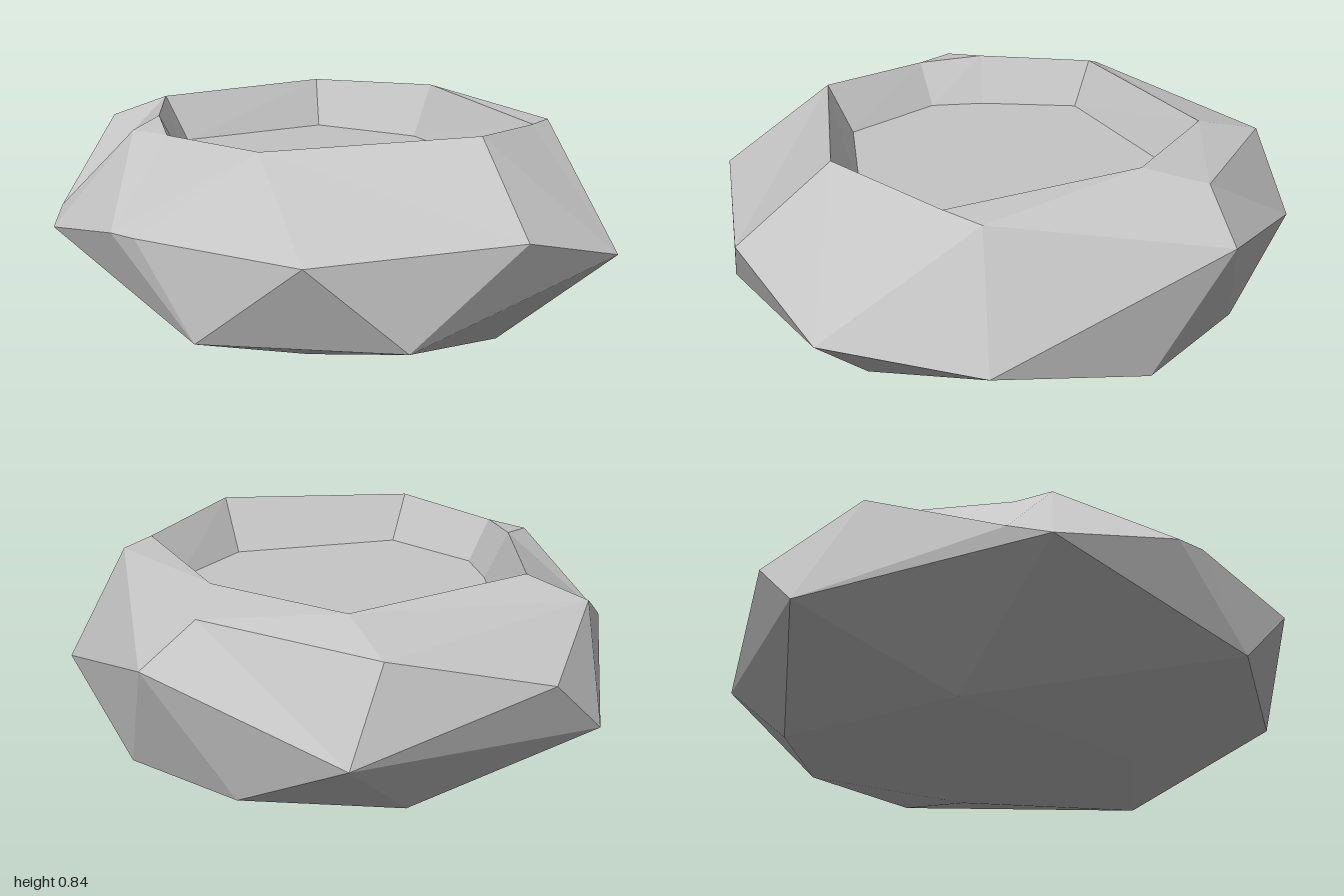
import * as THREE from 'three';

const stone = new THREE.MeshStandardMaterial({ color: 0xc5c5c5, flatShading: true });
stone.name = 'light stone grey';

// Joins two loops (inner/upper and outer/lower). Each step advances
// along the upper loop ('u') or the lower loop ('l') and adds one triangle.
function stitch(out, upper, lower, steps) {
  let i = 0, j = 0;
  for (const s of steps) {
    const u = upper[i % upper.length], l = lower[j % lower.length];
    const next = s === 'u' ? upper[++i % upper.length] : lower[++j % lower.length];
    if (u !== l && next !== u && next !== l) out.push(...u, ...next, ...l);
  }
}

function makeMesh(name, positions) {
  const geometry = new THREE.BufferGeometry();
  geometry.setAttribute('position', new THREE.Float32BufferAttribute(positions, 3));
  geometry.computeVertexNormals();
  const mesh = new THREE.Mesh(geometry, stone);
  mesh.name = name;
  return mesh;
}

export function createModel() {
  // Loops run clockwise seen from above, starting at the back
  const floor = [
    [0.22, -0.57], [0.5, -0.25], [0.55, 0.36], [0.26, 0.57],
    [-0.36, 0.46], [-0.53, 0.1], [-0.5, -0.1], [-0.38, -0.45],
  ].map(([x, z]) => [x, 0.635 - 0.03 * x + 0.02 * z, z]);
  const rim = [
    [0.25, 0.79, -0.67], [0.59, 0.81, -0.29], [0.64, 0.79, 0.4], [0.28, 0.84, 0.67],
    [-0.44, 0.825, 0.53], [-0.62, 0.805, 0.12], [-0.58, 0.82, -0.12], [-0.44, 0.8, -0.53],
  ];
  const frontCorner = [0.72, 0.43, 0.84]; // shared by shoulder and waist
  const backCorner = [-0.34, 0.57, -0.95]; // between shoulder and waist
  const shoulder = [
    [0.23, 0.72, -0.92], [0.69, 0.765, -0.49], [0.71, 0.765, -0.3], [0.76, 0.78, 0.31],
    frontCorner, [0.27, 0.575, 1], [-0.45, 0.565, 0.92], [-0.83, 0.565, 0.45],
    [-0.88, 0.56, 0.35], [-0.7, 0.8, -0.02], [-0.92, 0.5, -0.23], [-0.62, 0.72, -0.64],
  ];
  const waist = [
    [0.37, 0.42, -1], [0.88, 0.62, -0.5], [0.975, 0.37, 0.36], frontCorner,
    [-0.12, 0.26, 0.97], [-0.7, 0.26, 0.64], [-0.98, 0.46, -0.1], [-0.57, 0.35, -0.85],
  ];
  const underside = [
    [0.1, 0.15, -0.8], [0.62, 0.2, -0.65], [0.87, 0.19, -0.23],
    [0.4, 0.09, 0.61], [-0.22, 0.05, 0.4], [-0.55, 0.08, -0.3],
  ];
  const foot = [0.22, 0, -0.12];

  // Faceted outer stone
  const body = [];
  stitch(body, rim, shoulder, 'lullulululllulululul');
  stitch(body, shoulder, [...waist, backCorner], 'uluulluluuluuluululul');
  stitch(body, [backCorner], [waist[7], waist[0]], 'l');
  stitch(body, waist, underside, 'lululuululuulu');
  stitch(body, underside, [foot], 'uuuuuu');

  // Sunken basin in the top
  const wall = [], base = [];
  stitch(wall, floor, rim, 'lu'.repeat(8));
  stitch(base, [[0, 0.635, 0]], floor, 'l'.repeat(8));

  const group = new THREE.Group();
  group.name = 'hollowStone';
  group.add(makeMesh('stoneBody', body), makeMesh('basinWall', wall), makeMesh('basinFloor', base));
  return group;
}
